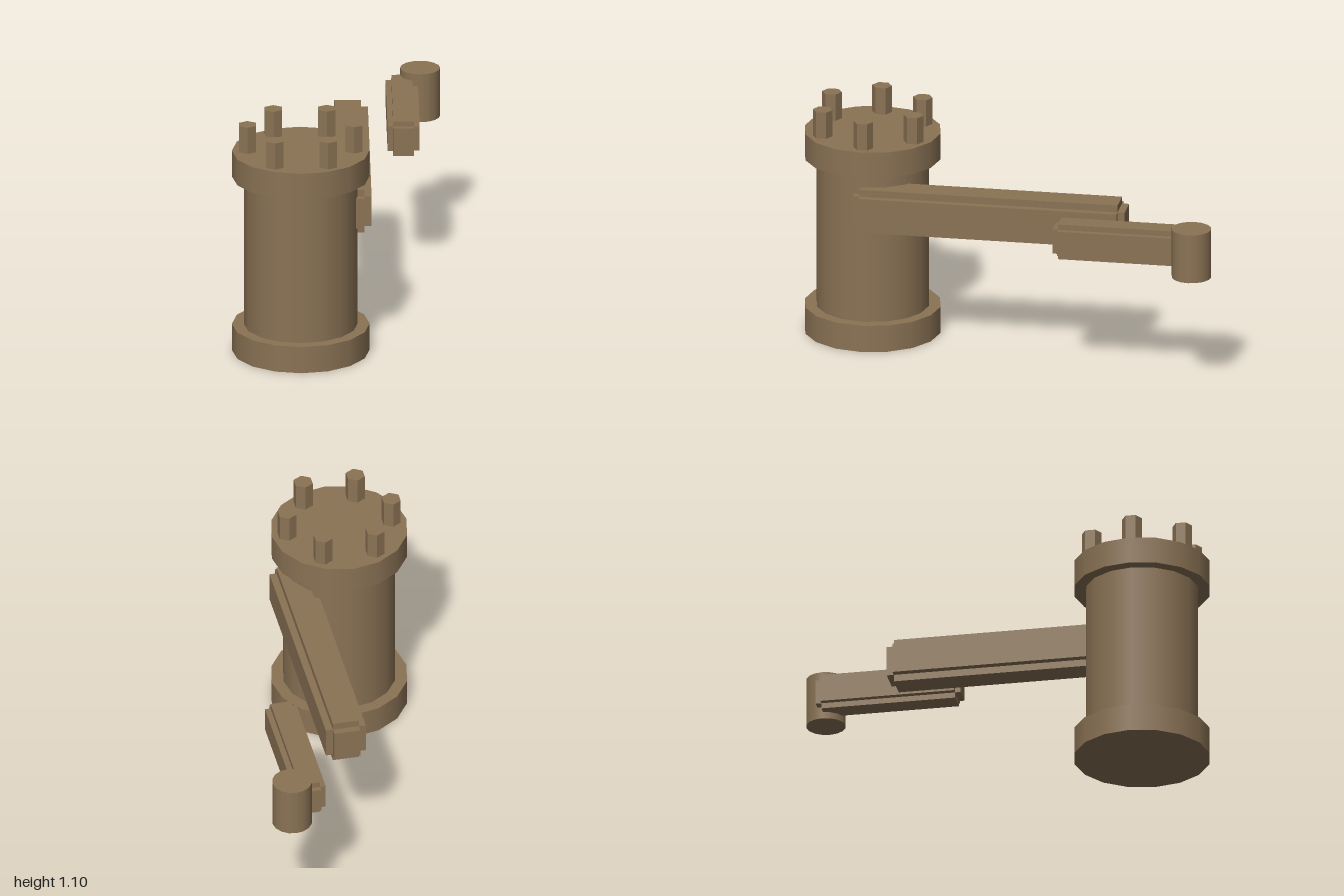
import * as THREE from 'three';

export function createModel() {
  const group = new THREE.Group();
  const metal = new THREE.MeshStandardMaterial({ color: 0x8b7355 });
  const facetedMetal = new THREE.MeshStandardMaterial({ color: 0x8b7355, flatShading: true });

  const add = (name, geometry, x, y, z, material = metal, parent = group) => {
    const mesh = new THREE.Mesh(geometry, material);
    mesh.name = name;
    mesh.position.set(x, y, z);
    parent.add(mesh);
    return mesh;
  };

  // Upright cylinder between two heights
  const column = (name, x, z, radius, y0, y1, sides = 16, material = metal) =>
    add(name, new THREE.CylinderGeometry(radius, radius, y1 - y0, sides), x, (y0 + y1) / 2, z, material);

  // Stepped bar: three overlapping boxes, each reaching its full size along one axis
  const steppedBar = (name, x, y, z, size, step) => {
    const bar = new THREE.Group();
    bar.name = name;
    bar.position.set(x, y, z);
    ['Width', 'Height', 'Length'].forEach((label, axis) => {
      const dims = size.map((s, i) => (i === axis ? s : s - 2 * step));
      add(name + label, new THREE.BoxGeometry(...dims), 0, 0, 0, metal, bar);
    });
    group.add(bar);
  };

  // Main cylinder with flanges
  const cx = -0.175, cz = 0.683;
  column('baseFlange', cx, cz, 0.317, 0, 0.128);
  column('body', cx, cz, 0.262, 0.128, 0.85);
  column('topFlange', cx, cz, 0.317, 0.85, 0.976);

  // Ring of hexagonal bolts on the top flange
  for (let i = 0; i < 6; i++) {
    const a = (i * Math.PI) / 3;
    column('bolt', cx + 0.245 * Math.cos(a), cz + 0.245 * Math.sin(a), 0.046, 0.976, 1.104, 6, facetedMetal);
  }

  // Two arm segments and the end pin
  steppedBar('mainArm', 0.057, 0.68, 0.09, [0.188, 0.21, 1.272], 0.033);
  steppedBar('outerArm', 0.312, 0.68, -0.591, [0.148, 0.17, 0.678], 0.026);
  column('endPin', 0.397, -0.908, 0.092, 0.564, 0.798);

  return group;
}
